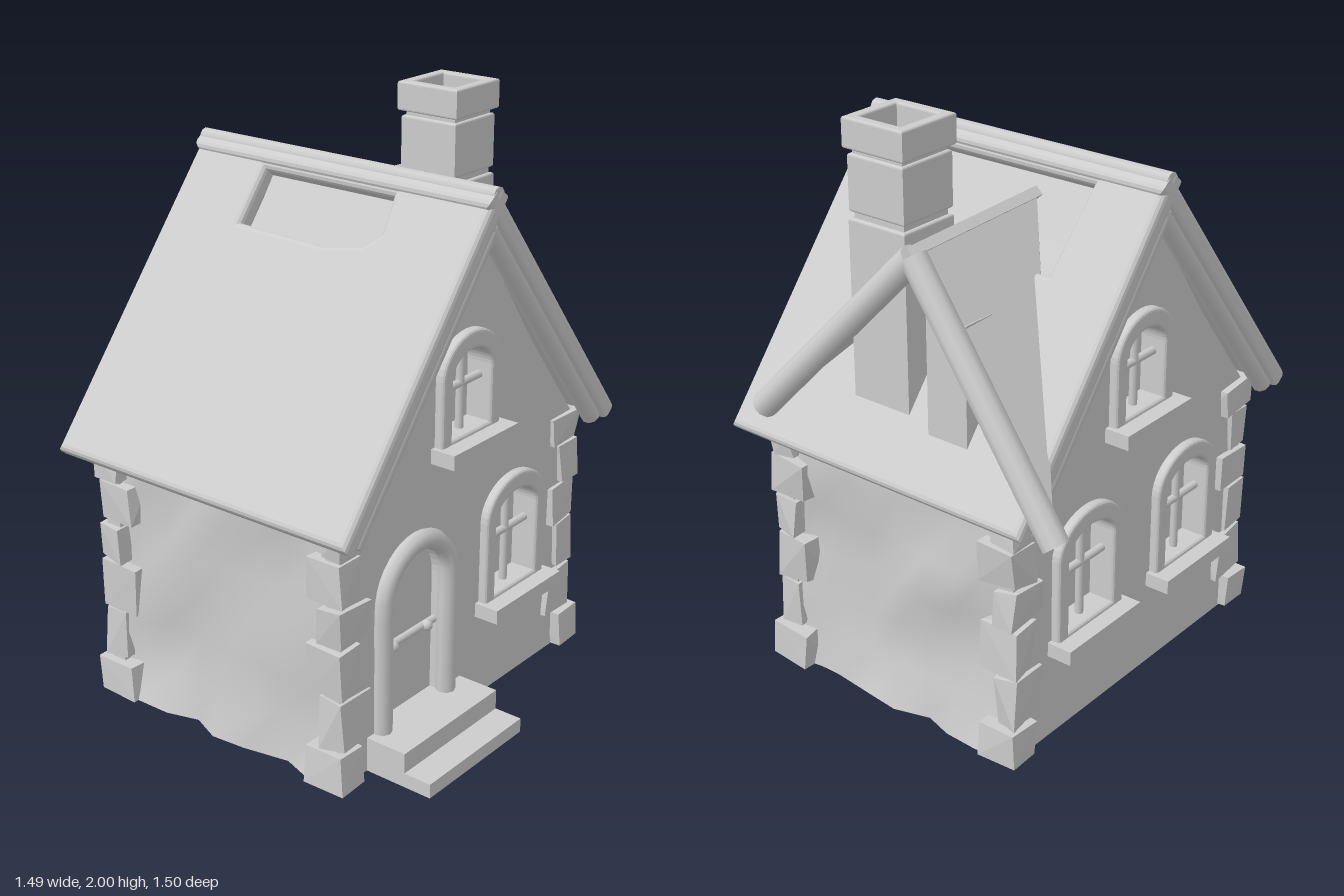
import * as THREE from 'three';
import { ConvexGeometry } from 'three/addons/geometries/ConvexGeometry.js';

const V = (x, y, z) => new THREE.Vector3(x, y, z);
const stone = new THREE.MeshStandardMaterial({ color: 0xcccccc, side: THREE.DoubleSide });
stone.name = 'paleGrey';

let seed = 7;
const rnd = () => (seed = (seed * 16807) % 2147483647) / 2147483647 - 0.5;

function add(parent, name, geo) {
  const m = new THREE.Mesh(geo, stone);
  m.name = name;
  parent.add(m);
  return m;
}

// box given by its limits
function box(parent, name, x0, x1, y0, y1, z0, z1) {
  const g = new THREE.BoxGeometry(x1 - x0, y1 - y0, z1 - z0);
  g.translate((x0 + x1) / 2, (y0 + y1) / 2, (z0 + z1) / 2);
  return add(parent, name, g);
}

// round timber between two points
function beam(parent, name, a, b, r) {
  const m = add(parent, name, new THREE.CylinderGeometry(r, r, a.distanceTo(b), 10));
  m.position.copy(a).add(b).multiplyScalar(0.5);
  m.quaternion.setFromUnitVectors(V(0, 1, 0), b.clone().sub(a).normalize());
  return m;
}

// rectangle with an elliptical top
function arch(Type, cx, w, y0, y1, rise) {
  const p = new Type();
  p.moveTo(cx - w / 2, y0);
  p.lineTo(cx + w / 2, y0);
  p.lineTo(cx + w / 2, y1 - rise);
  p.absellipse(cx, y1 - rise, w / 2, rise, 0, Math.PI, false);
  return p;
}

function polygon(Type, pts) {
  return new Type(pts.map(p => new THREE.Vector2(p[0], p[1])));
}

const extrude = (shape, depth, bevel = 0) => new THREE.ExtrudeGeometry(shape, {
  depth, bevelEnabled: bevel > 0, bevelSize: bevel, bevelThickness: bevel, bevelSegments: 3, curveSegments: 10 });

const GABLE = [[0.63, 0.88], [0.36, 1.22], [0.12, 1.56], [0, 1.74], [-0.12, 1.56], [-0.36, 1.22], [-0.63, 0.88]];

// front-facing wall with its windows: each is [centre x, bottom, top, width]
function gableWall(name, windows, door) {
  const wall = new THREE.Group();
  wall.name = name;
  const shape = polygon(THREE.Shape, [[-0.64, 0], [0.64, 0], ...GABLE]);
  for (const [x, y0, y1, w] of windows) {
    shape.holes.push(arch(THREE.Path, x, w, y0, y1, 0.09));
    // arched surround
    const ring = arch(THREE.Shape, x, w + 0.06, y0, y1 + 0.04, 0.12);
    ring.holes.push(arch(THREE.Path, x, w, y0 + 0.001, y1, 0.09));
    add(wall, 'windowSurround', extrude(ring, 0.08, 0.012)).position.z = 0.44;
    add(wall, 'windowPane', extrude(arch(THREE.Shape, x, w, y0, y1, 0.09), 0.008)).position.z = 0.425;
    beam(wall, 'windowBar', V(x, y0, 0.48), V(x, y1, 0.48), 0.014);
    const ym = y0 + (y1 - y0) * 0.55;
    beam(wall, 'windowBar', V(x - w / 2, ym, 0.48), V(x + w / 2, ym, 0.48), 0.014);
    const sw = w / 2 + 0.06;
    box(wall, 'windowSill', x - sw, x + sw, y0 - 0.05, y0, 0.4, 0.59);
  }
  if (door) {
    shape.holes.push(arch(THREE.Path, -0.265, 0.3, 0.02, 0.7, 0.15));
    add(wall, 'doorPanel', extrude(arch(THREE.Shape, -0.265, 0.3, 0.02, 0.7, 0.15), 0.03)).position.z = 0.43;
    // rounded door frame
    const pts = [V(-0.435, 0.1, 0.51), V(-0.435, 0.35, 0.51)];
    for (let i = 0; i <= 10; i++) {
      const a = Math.PI * (1 - i / 10);
      pts.push(V(-0.265 + 0.17 * Math.cos(a), 0.56 + 0.165 * Math.sin(a), 0.51));
    }
    pts.push(V(-0.095, 0.35, 0.51), V(-0.095, 0.1, 0.51));
    add(wall, 'doorFrame', new THREE.TubeGeometry(new THREE.CatmullRomCurve3(pts), 48, 0.034, 8));
    beam(wall, 'doorBar', V(-0.41, 0.38, 0.475), V(-0.12, 0.38, 0.475), 0.013);
    for (const x of [-0.35, -0.17]) {
      add(wall, 'doorKnob', new THREE.SphereGeometry(0.02, 10, 8)).position.set(x, 0.38, 0.485);
    }
  }
  add(wall, 'wallFace', extrude(shape, 0.06)).position.z = 0.44;
  return wall;
}

// rough stone side wall
function sideWall(s) {
  const g = new THREE.PlaneGeometry(1.0, 0.9, 8, 6);
  const p = g.attributes.position;
  for (let i = 0; i < p.count; i++) {
    const x = p.getX(i), y = p.getY(i);
    const inner = Math.abs(x) < 0.49;
    const foot = y < -0.4;
    p.setXYZ(i, x + (inner ? rnd() * 0.05 : 0), y + (inner && Math.abs(y) < 0.44 ? rnd() * 0.05 : 0),
      rnd() * 0.05 + (foot ? 0.03 : 0));
  }
  g.computeVertexNormals();
  g.rotateY(s * Math.PI / 2);
  g.translate(s * 0.61, 0.45, 0);
  return g;
}

// irregular corner stone
function quoin(x0, x1, y0, y1, z0, z1) {
  const pts = [];
  for (const x of [x0, x1]) for (const y of [y0, y1]) for (const z of [z0, z1]) {
    pts.push(V(x + rnd() * 0.025, Math.max(0, y + rnd() * 0.015), z + rnd() * 0.025));
  }
  return new ConvexGeometry(pts);
}

// flat panel with thickness below it
function panel(points, t) {
  const n = points[1].clone().sub(points[0]).cross(points[2].clone().sub(points[0])).normalize();
  if (n.y < 0) n.negate();
  return new ConvexGeometry([...points, ...points.map(p => p.clone().addScaledVector(n, -t))]);
}

export function createModel() {
  const house = new THREE.Group();
  house.name = 'cottage';

  // walls
  house.add(gableWall('frontWall', [[0.27, 0.36, 0.73, 0.26], [-0.01, 1.01, 1.31, 0.23]], true));
  const back = gableWall('backWall', [[0.27, 0.36, 0.73, 0.26], [-0.27, 0.36, 0.73, 0.26], [0, 1.01, 1.31, 0.23]], false);
  back.rotation.y = Math.PI;
  house.add(back);
  for (const s of [-1, 1]) add(house, 'sideWall', sideWall(s));

  // corner stones
  const levels = [0, 0.14, 0.32, 0.5, 0.64, 0.79, 0.9];
  for (const sx of [-1, 1]) for (const sz of [-1, 1]) {
    for (let i = 0; i < 6; i++) {
      const long = i % 2 ? 0.05 : 0, out = i ? 0.65 : 0.675;
      add(house, 'cornerStone', quoin(sx * (0.55 - long), sx * out, levels[i], levels[i + 1] - 0.012,
        sz * (0.38 + long), sz * (i ? 0.515 : 0.53)));
    }
  }

  // attic lining under the roof
  for (let i = 0; i < 6; i++) {
    const [ax, ay] = GABLE[i], [bx, by] = GABLE[i + 1];
    add(house, 'atticLining', panel([V(ax, ay, 0.45), V(bx, by, 0.45), V(bx, by, -0.45), V(ax, ay, -0.45)], 0.01));
  }

  // main roof slopes, each with a broken opening near the ridge
  const L = Math.hypot(0.75, 0.93);
  const holes = {
    '-1': [[0.07, -0.31], [0.31, -0.31], [0.32, 0.08], [0.29, 0.22], [0.23, 0.28], [0.07, 0.26]],
    '1': [[0.07, -0.37], [0.42, -0.35], [0.47, 0.18], [0.42, 0.28], [0.22, 0.31], [0.07, 0.29]],
  };
  for (const s of [-1, 1]) {
    const shape = polygon(THREE.Shape, [[0.02, -0.58], [L - 0.03, -0.58], [L - 0.03, 0.58], [0.02, 0.58]]);
    shape.holes.push(polygon(THREE.Path, holes[s].map(([u, z]) => [u, -s * z])));
    const down = V(s * 0.75 / L, -0.93 / L, 0), out = V(s * 0.93 / L, 0.75 / L, 0);
    const g = extrude(shape, 0.03, 0.022);
    g.translate(0, 0, -0.052);
    g.applyMatrix4(new THREE.Matrix4().makeBasis(down, V(0, 0, -s), out));
    g.translate(0, 1.825, 0);
    add(house, 'roofSlope', g);
    // barge boards under the gable edges
    for (const z of [-0.56, 0.56]) {
      const at = u => V(0, 1.825, z).addScaledVector(down, u).addScaledVector(out, -0.085);
      beam(house, 'bargeBoard', at(0.07), at(L - 0.04), 0.034);
    }
  }
  beam(house, 'ridgeBeam', V(0, 1.802, -0.6), V(0, 1.802, 0.6), 0.028);

  // side dormer
  const dormer = new THREE.Group();
  dormer.name = 'dormer';
  house.add(dormer);
  const tail = V(0.06, 1.7, -0.13), peak = V(0.64, 1.68, -0.13);
  const eaveA = V(0.71, 1.01, 0.48), eaveB = V(0.72, 0.93, -0.72);
  add(dormer, 'dormerSlope', panel([tail, peak, eaveA, V(0.6, 1.02, 0.48)], 0.035));
  add(dormer, 'dormerSlope', panel([tail, peak, eaveB, V(0.58, 1.05, -0.6)], 0.035));
  for (const e of [eaveA, eaveB]) {
    beam(dormer, 'dormerRafter', peak.clone().add(V(0, -0.04, 0)), e.clone().add(V(-0.01, -0.02, 0)), 0.045);
  }
  box(dormer, 'dormerPost', 0.5, 0.62, 1.03, 1.46, -0.31, -0.155);

  // chimney with a hollow top
  const chimney = new THREE.Group();
  chimney.name = 'chimney';
  house.add(chimney);
  const course = (y0, y1, grow, wall) => {
    const w = 0.113 + grow, i = w - wall;
    const sq = r => [[-r, -r], [r, -r], [r, r], [-r, r]];
    const shape = polygon(THREE.Shape, sq(w - 0.008));
    shape.holes.push(polygon(THREE.Path, sq(i)));
    const g = extrude(shape, y1 - y0 - 0.016, 0.008);
    g.rotateX(-Math.PI / 2);
    g.translate(0.485, y0 + 0.008, 0.055);
    add(chimney, 'chimneyCourse', g);
  };
  course(1.05, 1.68, 0, 0.03);
  course(1.7, 1.885, -0.002, 0.03);
  course(1.9, 2.0, 0.008, 0.03);
  box(chimney, 'chimneyCore', 0.385, 0.585, 1.1, 1.9, -0.045, 0.155);

  // door steps
  box(house, 'lowerStep', -0.5, 0, 0, 0.05, 0.45, 0.75);
  box(house, 'upperStep', -0.5, 0, 0.05, 0.12, 0.45, 0.65);
  return house;
}
